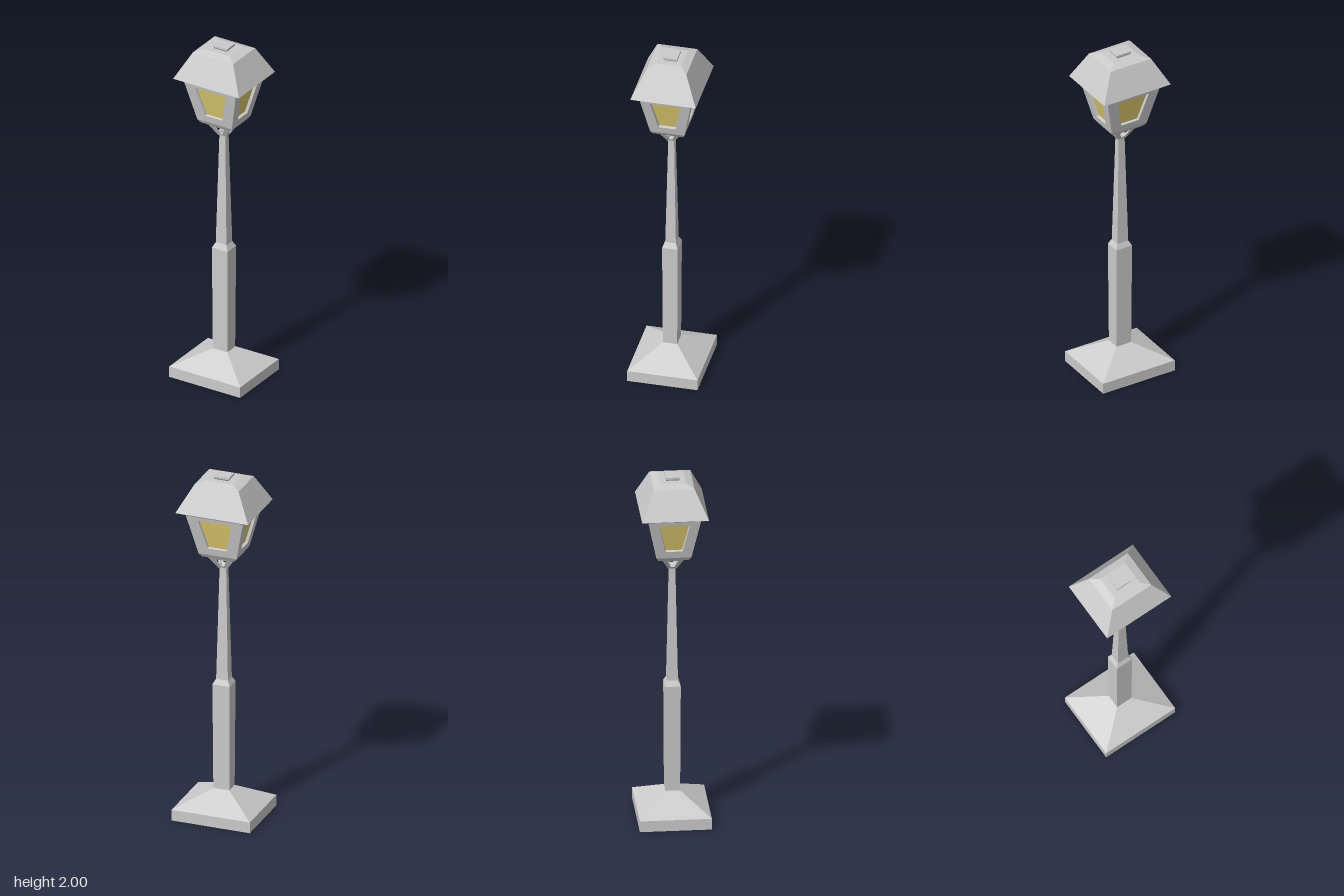
import * as THREE from 'three';

const DEPTH = 0.86; // every section is a rectangle: z half = x half * DEPTH
const grey = new THREE.MeshStandardMaterial({ color: 0xcccccc, flatShading: true });
const amber = new THREE.MeshStandardMaterial({ color: 0xe0cc70, flatShading: true });

function finish(geometry, name, material) {
  geometry.scale(1, 1, DEPTH);
  geometry.computeVertexNormals();
  const mesh = new THREE.Mesh(geometry, material);
  mesh.name = name;
  return mesh;
}

// Four-sided solid from a profile of [half width, height], bottom to top
function stack(name, profile) {
  const points = profile.map(([h, y]) => new THREE.Vector2(h * Math.SQRT2, y));
  return finish(new THREE.LatheGeometry(points, 4, Math.PI / 4).toNonIndexed(), name, grey);
}

// Quads on one front-facing side, repeated around the four sides
function fourSides(name, quads, material) {
  const positions = [];
  for (let k = 0; k < 4; k++) {
    for (const [a, b, c, d] of quads) {
      for (const p of [a, b, c, a, c, d]) {
        const v = p.clone().applyAxisAngle(new THREE.Vector3(0, 1, 0), k * Math.PI / 2);
        positions.push(v.x, v.y, v.z);
      }
    }
  }
  const geometry = new THREE.BufferGeometry();
  geometry.setAttribute('position', new THREE.Float32BufferAttribute(positions, 3));
  return finish(geometry, name, material);
}

// Sloping wall ring with a trapezoid opening; wall and hole are
// [bottom half, bottom y, top half, top y]
function openWall(wall, hole, depth, shrink) {
  const [h0, y0, h1, y1] = wall;
  const half = (y) => h0 + (h1 - h0) * (y - y0) / (y1 - y0);
  const loop = ([a, ya, b, yb], inset, trim) =>
    [[-a + trim, ya + trim], [a - trim, ya + trim], [b - trim, yb - trim], [-b + trim, yb - trim]]
      .map(([x, y]) => new THREE.Vector3(x, y, half(y) - inset));
  const outer = loop(wall, 0, 0);
  const rim = loop(hole, 0, 0);
  const innerRim = loop(hole, depth, shrink);
  const innerOuter = loop([h0 - depth, y0, h1 - depth, y1], depth, 0);
  const bridge = (p, q) => p.map((_, i) => [p[i], p[(i + 1) % 4], q[(i + 1) % 4], q[i]]);
  return {
    front: [...bridge(outer, rim), ...bridge(rim, innerRim)],
    back: bridge(innerRim, innerOuter),
    pane: [innerRim],
  };
}

export function createModel() {
  const model = new THREE.Group();
  model.name = 'streetLamp';

  // Plinth and tapered post
  model.add(stack('base', [[0, 0], [0.226, 0], [0.226, 0.063], [0.046, 0.157], [0, 0.157]]));
  model.add(stack('post', [
    [0.046, 0.157], [0.05, 0.77], [0.034, 0.8], [0.019, 1.455],
    [0.027, 1.455], [0.027, 1.458], [0, 1.458],
  ]));

  // Open bracket between post and lantern
  const bracket = openWall([0.027, 1.457, 0.075, 1.535], [0.012, 1.469, 0.032, 1.516], 0.012, 0);
  model.add(fourSides('bracket', [...bracket.front, ...bracket.back], grey));

  // Lantern body with recessed panes
  model.add(stack('lanternFloor', [[0, 1.535], [0.095, 1.535], [0.11, 1.556], [0, 1.556]]));
  const body = openWall([0.11, 1.556, 0.166, 1.795], [0.055, 1.597, 0.097, 1.768], 0.016, 0.004);
  model.add(fourSides('lanternFrame', body.front, grey));
  model.add(fourSides('panes', body.pane, amber));

  // Roof with sloped eaves, and flared cap
  model.add(stack('roof', [
    [0, 1.79], [0.165, 1.79], [0.21, 1.812], [0.128, 1.965], [0.08, 1.98], [0, 1.98],
  ]));
  model.add(stack('cap', [[0.036, 1.978], [0.045, 1.988], [0.045, 2], [0, 2]]));

  return model;
}
